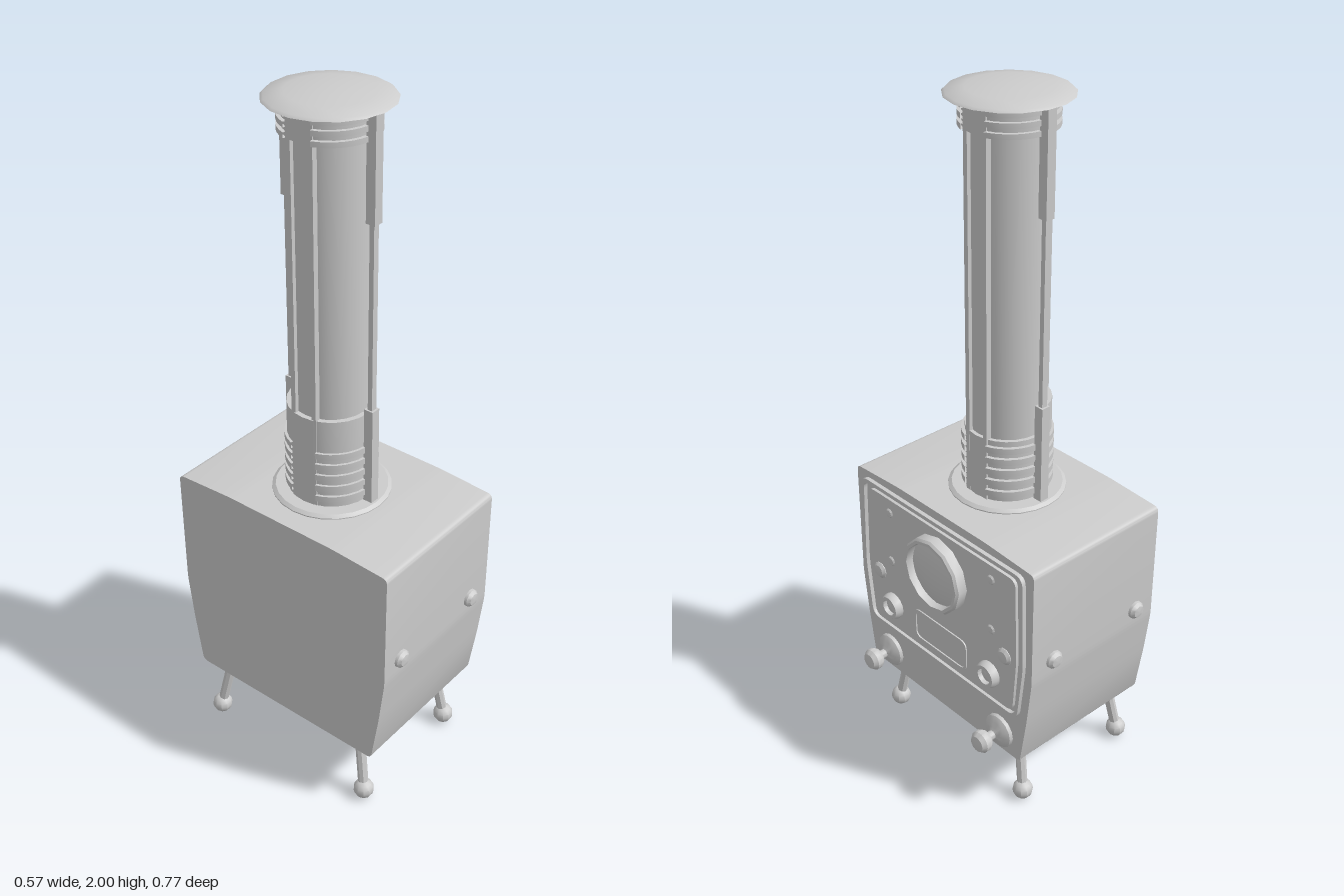
import * as THREE from 'three';
import { toCreasedNormals } from 'three/addons/utils/BufferGeometryUtils.js';

const material = new THREE.MeshStandardMaterial({ color: 0xcccccc, side: THREE.DoubleSide });
const V2 = (p) => new THREE.Vector2(p[0], p[1]);
const FACE = 0.19; // x of the body's control face
const PIPE_X = -0.055;

function add(parent, name, geometry, x = 0, y = 0, z = 0) {
  const mesh = new THREE.Mesh(toCreasedNormals(geometry, 0.6), material);
  mesh.name = name;
  mesh.position.set(x, y, z);
  parent.add(mesh);
  return mesh;
}

// Turned part: [radius, height] pairs, axis up
const lathe = (points, sides = 16, start = 0, length = Math.PI * 2) =>
  new THREE.LatheGeometry(points.map(V2), sides, start, length);

// Turned part with its axis pointing out of the control face (+x)
const turned = (points, sides = 16) => lathe(points, sides).rotateZ(-Math.PI / 2);

// Polygon with rounded corners
function rounded(corners, r) {
  const pts = corners.map(V2), shape = new THREE.Shape(), n = pts.length;
  pts.forEach((p, i) => {
    const toward = (q) => p.clone().add(q.clone().sub(p).setLength(r));
    const a = toward(pts[(i + n - 1) % n]), b = toward(pts[(i + 1) % n]);
    if (i === 0) shape.moveTo(a.x, a.y); else shape.lineTo(a.x, a.y);
    shape.quadraticCurveTo(p.x, p.y, b.x, b.y);
  });
  shape.closePath();
  return shape;
}

// Extrude a (z, y) outline along +x
const slab = (shape, depth) =>
  new THREE.ExtrudeGeometry(shape, { depth, bevelEnabled: false, curveSegments: 5 }).rotateY(Math.PI / 2);

// Mirrored half outline
const mirrored = (half) => [...half, ...half.slice().reverse().map(([z, y]) => [-z, y])];

function frame(outer, outerR, inner, innerR, depth) {
  const shape = rounded(outer, outerR);
  shape.holes.push(new THREE.Path(rounded(inner, innerR).getPoints(5)));
  return slab(shape, depth);
}

function buildBody(g) {
  const outline = [
    [0.32, 0.2], [0.345, 0.36], [0.362, 0.5], [0.364, 0.862], [0.18, 0.872],
    [-0.18, 0.872], [-0.364, 0.862], [-0.362, 0.5], [-0.345, 0.36], [-0.32, 0.2],
  ];
  add(g, 'body', slab(rounded(outline, 0.016), 0.47), -0.28);

  // Domed bolts on both flanks
  for (const side of [-1, 1]) for (const x of [-0.21, 0.11]) {
    const bolt = add(g, 'sideBolt', lathe([[0.028, -0.01], [0.026, 0.008], [0.018, 0.017], [0, 0.021]], 12), x, 0.55, side * 0.362);
    bolt.rotation.x = side * Math.PI / 2;
  }
}

function buildLegs(g) {
  for (const side of [-1, 1]) for (const [topX, footX] of [[-0.232, -0.255], [0.118, 0.135]]) {
    const top = new THREE.Vector3(topX, 0.22, side * 0.242);
    const foot = new THREE.Vector3(footX, 0.03, side * 0.277);
    add(g, 'leg', new THREE.TubeGeometry(new THREE.LineCurve3(top, foot), 1, 0.015, 8));
    add(g, 'foot', new THREE.SphereGeometry(0.03, 10, 8), footX, 0.03, side * 0.277);
  }
}

function buildPanel(g) {
  const edge = mirrored([[0.317, 0.357], [0.34, 0.55], [0.334, 0.845]]);
  const middle = mirrored([[0.308, 0.366], [0.329, 0.55], [0.322, 0.835]]);
  const inner = mirrored([[0.297, 0.374], [0.311, 0.55], [0.305, 0.82]]);
  add(g, 'panelRim', frame(edge, 0.03, middle, 0.028, 0.012), FACE);
  add(g, 'panel', slab(rounded(inner, 0.025), 0.009), FACE);

  // Large gauge with domed glass
  add(g, 'gaugeRing', turned([[0.115, 0], [0.115, 0.038], [0.109, 0.045], [0.1, 0.045], [0.098, 0.022]], 12), FACE, 0.685, 0);
  add(g, 'gaugeGlass', turned([[0.1, 0.022], [0.075, 0.031], [0.04, 0.036], [0, 0.038]], 20), FACE, 0.685, 0);

  // Name plate recess with a slim raised border
  const plate = (w, h) => [[-w, 0.45 - h], [w, 0.45 - h], [w, 0.45 + h], [-w, 0.45 + h]];
  add(g, 'plateBorder', frame(plate(0.112, 0.052), 0.026, plate(0.105, 0.045), 0.022, 0.013), FACE);

  const stud = (r, h) => turned([[r, 0], [r, h * 0.5], [r * 0.7, h * 0.85], [0, h]], 10);
  for (const s of [-1, 1]) {
    add(g, 'upperScrew', stud(0.016, 0.016), FACE, 0.775, s * 0.212);
    add(g, 'lowerScrew', stud(0.016, 0.016), FACE, 0.61, s * 0.212);
    add(g, 'indicator', stud(0.026, 0.022), FACE, 0.55, s * 0.266);
    add(g, 'dialKnob', turned([[0.04, 0], [0.04, 0.02], [0.035, 0.033], [0.024, 0.033], [0.023, 0.02], [0.012, 0.025], [0, 0.026]], 16), FACE, 0.455, s * 0.207);
    // Ball-ended valve handle
    add(g, 'valveHandle', turned([
      [0.052, 0], [0.05, 0.01], [0.036, 0.02], [0.022, 0.024], [0.013, 0.03], [0.013, 0.048],
      [0.026, 0.052], [0.033, 0.063], [0.033, 0.077], [0.024, 0.089], [0, 0.094],
    ], 14), FACE, 0.265, s * 0.24);
  }
}

function buildChimney(g) {
  const chimney = new THREE.Group();
  chimney.name = 'chimney';
  chimney.position.x = PIPE_X;
  g.add(chimney);
  add(chimney, 'flange', lathe([[0.165, 0.862], [0.165, 0.875], [0.155, 0.882], [0.11, 0.882]], 24));
  add(chimney, 'pipe', lathe([[0.106, 0.87], [0.106, 1.975]], 24));

  // Collar: a taller rear half and a shorter face-side half
  const band = (r, y0, y1) => [[0.1, y0], [r, y0], [r, y1], [0.1, y1], [0.1, y0]];
  add(chimney, 'rearCollar', lathe(band(0.12, 0.875, 1.15), 12, Math.PI, Math.PI));
  add(chimney, 'faceCollar', lathe(band(0.117, 0.875, 1.07), 12, 0, Math.PI));
  add(chimney, 'topCuff', lathe(band(0.118, 1.9, 1.975), 24));

  // Ribs in four arcs, leaving gaps at the strips and struts
  for (let q = 0; q < 4; q++) {
    const start = q * Math.PI / 2 + (q % 2 ? 0.33 : 0.12);
    for (let i = 0; i < 5; i++) {
      const y = 0.9 + i * 0.034;
      add(chimney, 'collarRib', lathe(band(0.127, y, y + 0.018), 7, start, 1.12));
    }
    for (const y of [1.902, 1.928, 1.954])
      add(chimney, 'cuffRib', lathe(band(0.128, y, y + 0.014), 7, start, 1.12));
  }

  // Struts with thicker end brackets, and slim strips along the pipe
  for (const s of [-1, 1]) {
    add(chimney, 'strut', new THREE.BoxGeometry(0.018, 1.09, 0.014), 0, 1.425, s * 0.135);
    add(chimney, 'lowerBracket', new THREE.BoxGeometry(0.028, 0.29, 0.028), 0, 1.025, s * 0.134);
    add(chimney, 'upperBracket', new THREE.BoxGeometry(0.028, 0.28, 0.028), 0, 1.835, s * 0.134);
    for (const t of [-1, 1])
      add(chimney, 'pipeStrip', new THREE.BoxGeometry(0.016, 1.09, 0.014), s * 0.106, 1.425, t * 0.034);
  }

  add(chimney, 'cap', lathe([
    [0, 1.968], [0.12, 1.968], [0.165, 1.978], [0.158, 1.984], [0.11, 1.993], [0.055, 1.998], [0, 2],
  ], 17));
}

export function createModel() {
  const model = new THREE.Group();
  model.name = 'stove';
  buildBody(model);
  buildLegs(model);
  buildPanel(model);
  buildChimney(model);
  return model;
}
